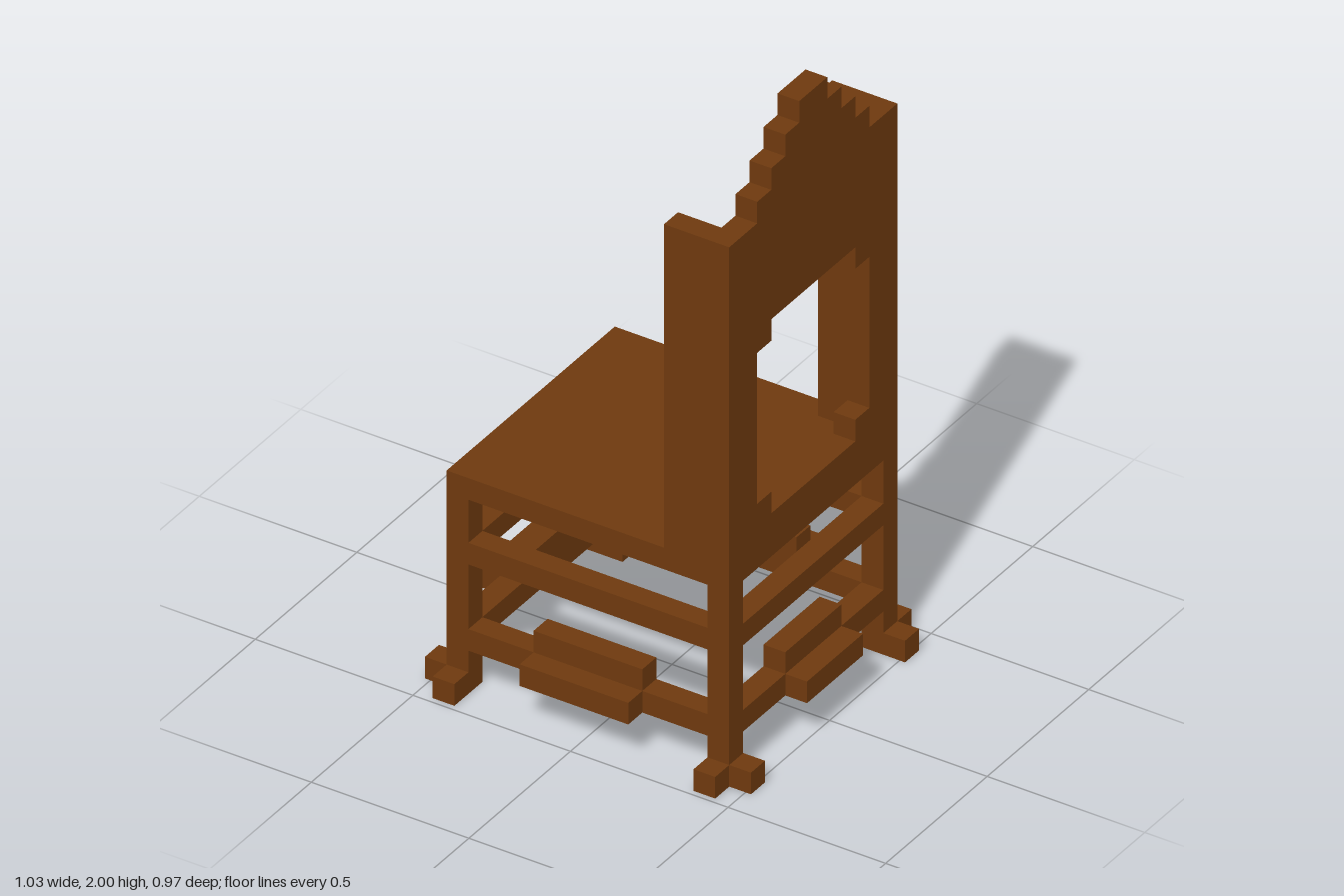
import * as THREE from 'three';

const U = 2 / 29; // one block; all sizes below are in blocks

export function createModel() {
  const chair = new THREE.Group();
  chair.name = 'chair';
  const wood = new THREE.MeshStandardMaterial({ color: 0x6e390e });
  wood.name = 'brown wood';

  const add = (name, geometry) => {
    geometry.scale(U, U, U);
    const mesh = new THREE.Mesh(geometry, wood);
    mesh.name = name;
    chair.add(mesh);
  };
  // Box given by its centre in x and z and its bottom in y
  const box = (name, w, h, d, x, y, z) =>
    add(name, new THREE.BoxGeometry(w, h, d).translate(x, y + h / 2, z));

  box('seat', 13, 1, 12, 0, 9, 0);

  for (const sx of [-1, 1]) {
    for (const sz of [-1, 1]) {
      // Legs with two-toed feet
      box('leg', 1, 9, 1, sx * 6, 0, sz * 5.5);
      box('sideToe', 1, 1, 1, sx * 7, 0, sz * 5.5);
      box('endToe', 1, 1, 1, sx * 6, 0, sz * 6.5);
    }
  }

  for (const s of [-1, 1]) {
    // Upper and lower stretchers between the legs
    for (const y of [2, 6]) {
      box('longStretcher', 11, 1, 1, 0, y, s * 5.5);
      box('shortStretcher', 1, 1, 10, s * 6, y, 0);
    }
    // Stepped ornaments on the lower stretchers
    box('longRaisedBlock', 5, 1, 1, 0, 3, s * 5.5);
    box('longLedge', 5, 1, 1, 0, 2, s * 6.5);
    box('shortRaisedBlock', 1, 1, 4, s * 6, 3, 0);
    box('shortLedge', 1, 1, 4, s * 7, 2, 0);
    // Wings beside the backrest
    box('wing', 2, 15, 1, 4.5, 10, s * 5.5);
  }

  // Backrest with stepped crest and notched opening, mirrored about its middle
  const mirrored = (half) => [
    ...half,
    ...half.slice().reverse().map(([a, b]) => [-a, b]),
  ].map(([a, b]) => new THREE.Vector2(a, b));
  const outline = [[6, 10], [6, 25]];
  for (let i = 4; i >= 1; i--) outline.push([i, 29 - i], [i, 30 - i]);
  const panel = new THREE.Shape(mirrored(outline));
  panel.holes.push(new THREE.Path(mirrored(
    [[3, 11], [3, 12], [4, 12], [4, 19], [3, 19], [3, 20]])));
  add('backrest', new THREE.ExtrudeGeometry(panel, { depth: 1, bevelEnabled: false })
    .rotateY(-Math.PI / 2).translate(6.5, 0, 0));

  return chair;
}
